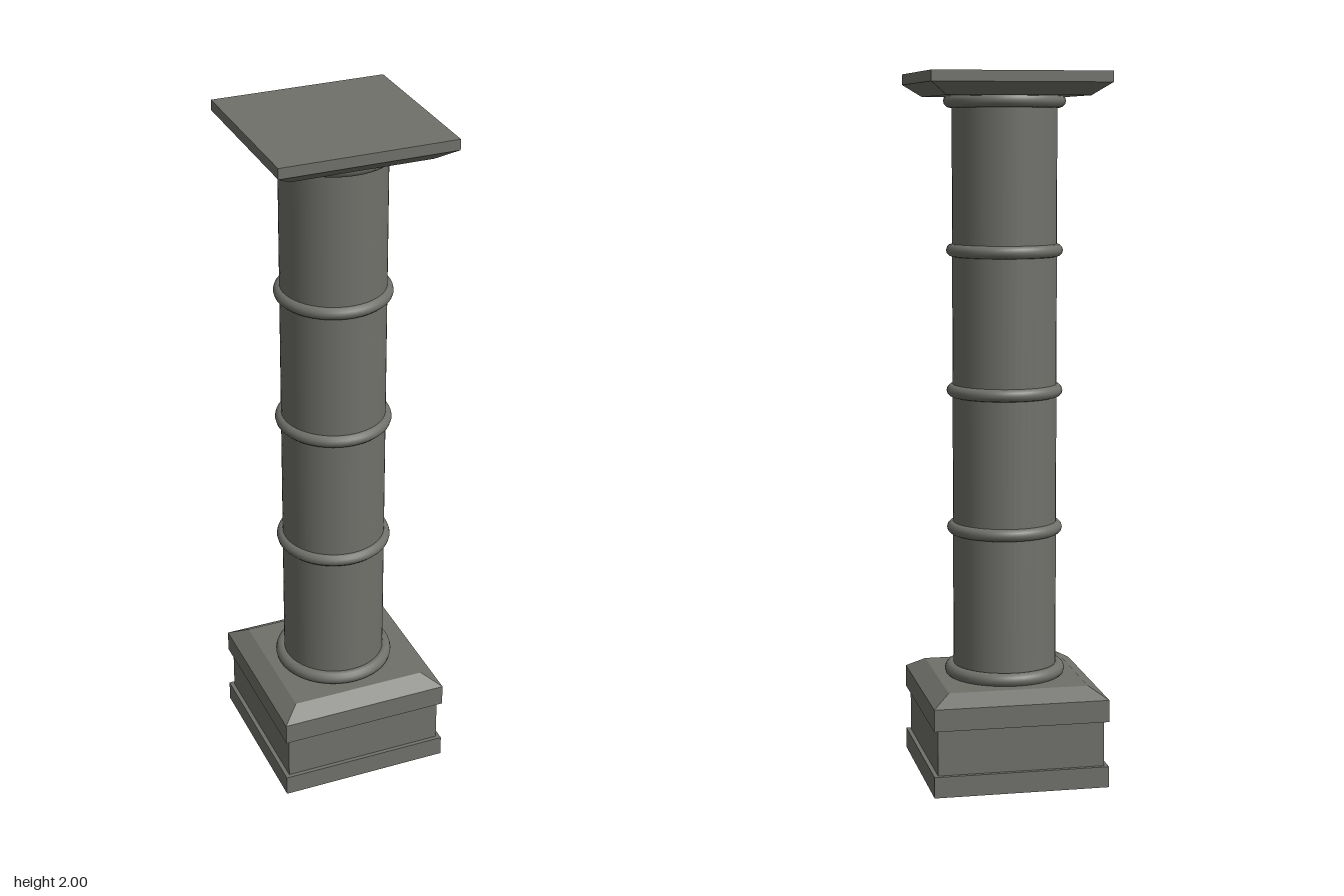
import * as THREE from 'three';

export function createModel() {
  const group = new THREE.Group();
  const stone = new THREE.MeshStandardMaterial({ color: 0x70706b });
  stone.name = 'grey stone';

  const add = (name, geometry, y) => {
    const mesh = new THREE.Mesh(geometry, stone);
    mesh.name = name;
    mesh.position.y = y;
    group.add(mesh);
  };

  // Square slab or bevel between two heights, with half widths at bottom and top
  const block = (name, y0, y1, bottom, top = bottom) => {
    let g = new THREE.CylinderGeometry(top * Math.SQRT2, bottom * Math.SQRT2, y1 - y0, 4);
    g.rotateY(Math.PI / 4);
    g = g.toNonIndexed();
    g.computeVertexNormals();
    add(name, g, (y0 + y1) / 2);
  };

  // Rounded ring around the shaft
  const ring = (name, y, radius, tube) =>
    add(name, new THREE.TorusGeometry(radius, tube, 12, 48).rotateX(Math.PI / 2), y);

  // Pedestal
  block('foot', 0, 0.06, 0.25);
  block('plinth', 0.06, 0.19, 0.238);
  block('pedestalCap', 0.19, 0.253, 0.25);
  block('pedestalBevel', 0.253, 0.285, 0.25, 0.2);

  // Shaft and rings
  add('shaft', new THREE.CylinderGeometry(0.148, 0.148, 1.65, 48, 1, true), 1.11);
  ring('bottomRing', 0.3, 0.153, 0.02);
  [0.715, 1.11, 1.507].forEach((y, i) => ring(`shaftRing${i + 1}`, y, 0.147, 0.018));
  ring('topRing', 1.922, 0.153, 0.019);

  // Capital
  block('capitalBevel', 1.935, 1.97, 0.2, 0.25);
  block('capitalSlab', 1.97, 2, 0.25);

  return group;
}
